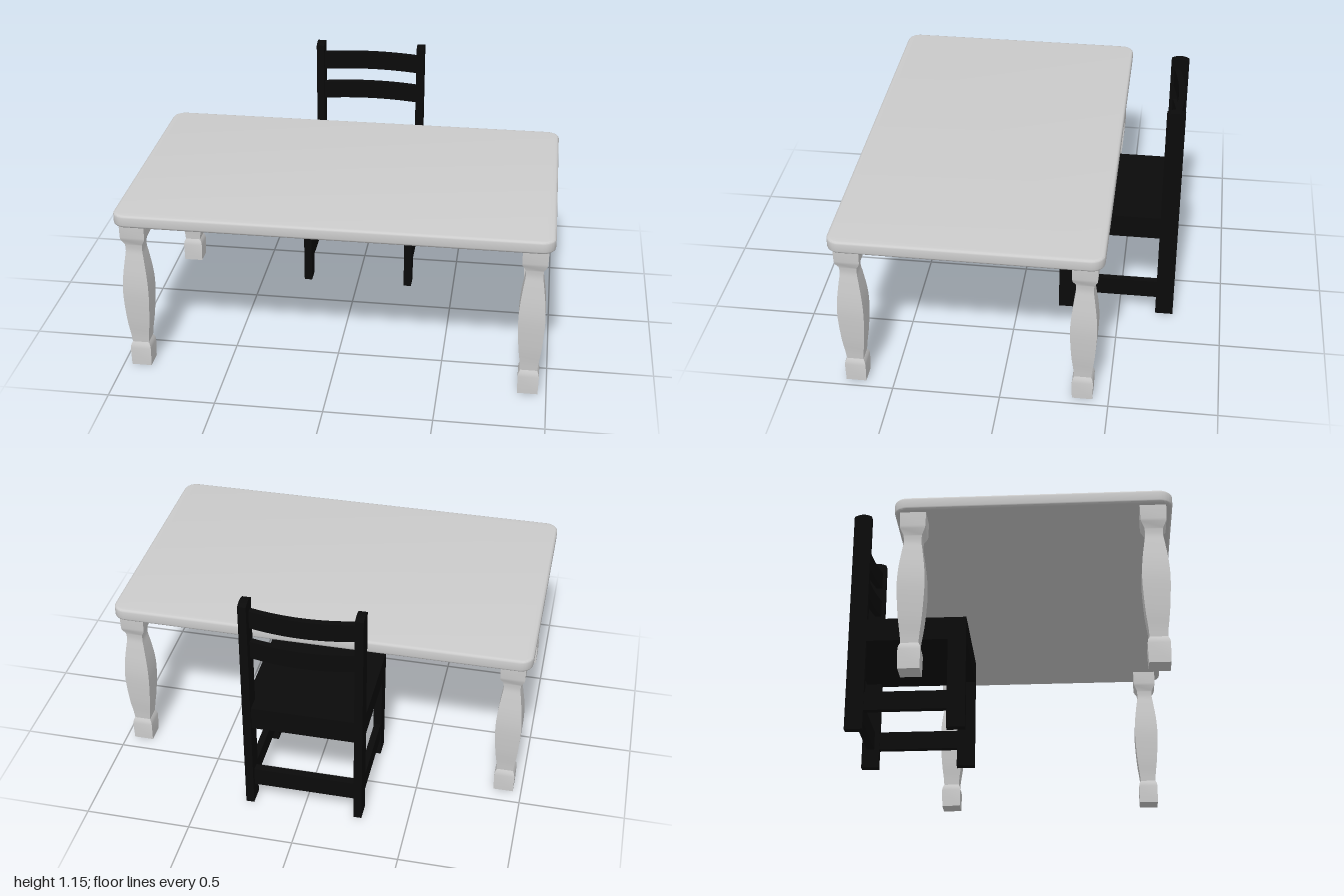
import * as THREE from 'three';
import { toCreasedNormals } from 'three/addons/utils/BufferGeometryUtils.js';

const tableMaterial = new THREE.MeshStandardMaterial({ color: 0xcccccc });
const chairMaterial = new THREE.MeshStandardMaterial({ color: 0x0a0a0a });

function addMesh(group, name, geometry, material) {
  const mesh = new THREE.Mesh(geometry, material);
  mesh.name = name;
  group.add(mesh);
  return mesh;
}

// Box given by its extents on each axis
function addBox(group, name, [x0, x1], [y0, y1], [z0, z1]) {
  const geometry = new THREE.BoxGeometry(x1 - x0, y1 - y0, z1 - z0);
  addMesh(group, name, geometry, chairMaterial)
    .position.set((x0 + x1) / 2, (y0 + y1) / 2, (z0 + z1) / 2);
}

function tabletopGeometry() {
  const bevel = 0.012, w = 1 - bevel, d = 0.615 - bevel, r = 0.05;
  const shape = new THREE.Shape();
  shape.absarc(w - r, d - r, r, 0, Math.PI / 2);
  shape.absarc(-w + r, d - r, r, Math.PI / 2, Math.PI);
  shape.absarc(-w + r, -d + r, r, Math.PI, Math.PI * 1.5);
  shape.absarc(w - r, -d + r, r, Math.PI * 1.5, Math.PI * 2);
  const geometry = new THREE.ExtrudeGeometry(shape, {
    depth: 0.06 - 2 * bevel, bevelThickness: bevel, bevelSize: bevel, bevelSegments: 3, curveSegments: 8,
  });
  geometry.rotateX(-Math.PI / 2).translate(0, 0.75 + bevel, 0.152);
  return toCreasedNormals(geometry, 0.6);
}

// Square turned leg: block foot, swelling body, narrow neck, block head
function tableLegGeometry() {
  const body = new THREE.SplineCurve([
    [0.039, 0.122], [0.043, 0.165], [0.053, 0.25], [0.0605, 0.38],
    [0.057, 0.47], [0.046, 0.56], [0.039, 0.61], [0.041, 0.645],
  ].map(([x, y]) => new THREE.Vector2(x, y))).getPoints(28);
  const profile = [
    new THREE.Vector2(0, 0), new THREE.Vector2(0.047, 0), new THREE.Vector2(0.049, 0.09),
    new THREE.Vector2(0.046, 0.107), ...body,
    new THREE.Vector2(0.055, 0.672), new THREE.Vector2(0.057, 0.685),
    new THREE.Vector2(0.058, 0.752), new THREE.Vector2(0, 0.752),
  ].map((p) => new THREE.Vector2(p.x * Math.SQRT2, p.y));
  const lathe = new THREE.LatheGeometry(profile, 4, Math.PI / 4);
  return toCreasedNormals(lathe, 0.5);
}

// Back post: side outline with a gently arched top, extruded across x
function backPostGeometry(width, z0, z1, height) {
  const shape = new THREE.Shape();
  shape.moveTo(-z1, 0);
  shape.lineTo(-z0, 0);
  shape.lineTo(-z0, height - 0.012);
  shape.quadraticCurveTo(-(z0 + z1) / 2, height + 0.012, -z1, height - 0.012);
  const geometry = new THREE.ExtrudeGeometry(shape, { depth: width, bevelEnabled: false, curveSegments: 8 });
  geometry.translate(0, 0, -width / 2).rotateY(Math.PI / 2);
  return toCreasedNormals(geometry, 0.6);
}

// Slat bowed backwards in the middle
function slatGeometry(halfWidth, height) {
  const geometry = new THREE.BoxGeometry(halfWidth * 2, height, 0.03, 16, 1, 1);
  const position = geometry.attributes.position;
  for (let i = 0; i < position.count; i++) {
    const t = position.getX(i) / halfWidth;
    position.setZ(i, position.getZ(i) - 0.03 * (1 - t * t));
  }
  return toCreasedNormals(geometry, 0.6);
}

function createTable() {
  const table = new THREE.Group();
  table.name = 'table';
  addMesh(table, 'tabletop', tabletopGeometry(), tableMaterial);
  const legGeometry = tableLegGeometry();
  for (const x of [-0.914, 0.914]) {
    for (const z of [-0.378, 0.68]) {
      addMesh(table, 'tableLeg', legGeometry, tableMaterial).position.set(x, 0, z);
    }
  }
  return table;
}

function createChair() {
  const chair = new THREE.Group();
  chair.name = 'chair';
  const outer = 0.282, inner = 0.243, front = -0.2, postFront = -0.68, back = -0.766;

  // Seat block and the rail joining it to the posts
  addBox(chair, 'seat', [-outer, outer], [0.45, 0.565], [postFront, front]);
  addBox(chair, 'seatBackRail', [-inner, inner], [0.45, 0.565], [-0.755, postFront]);

  // Legs, posts and side stretchers
  const postGeometry = backPostGeometry(outer - inner, back, postFront, 1.146);
  for (const side of [-1, 1]) {
    const span = (a, b) => [Math.min(side * a, side * b), Math.max(side * a, side * b)];
    addBox(chair, 'frontLeg', span(inner, outer), [0, 0.45], [-0.288, front]);
    addBox(chair, 'sideStretcher', span(inner + 0.004, outer - 0.004), [0.095, 0.187], [postFront, -0.288]);
    addMesh(chair, 'backPost', postGeometry, chairMaterial).position.x = side * (inner + outer) / 2;
  }
  addBox(chair, 'backStretcher', [-inner, inner], [0.095, 0.187], [-0.742, -0.704]);

  // Curved back slats
  const slat = slatGeometry(inner + 0.002, 0.09);
  for (const y of [0.88, 1.045]) {
    addMesh(chair, 'backSlat', slat, chairMaterial).position.set(0, y, -0.712);
  }
  return chair;
}

export function createModel() {
  const model = new THREE.Group();
  model.name = 'diningSet';
  model.add(createTable(), createChair());
  return model;
}
